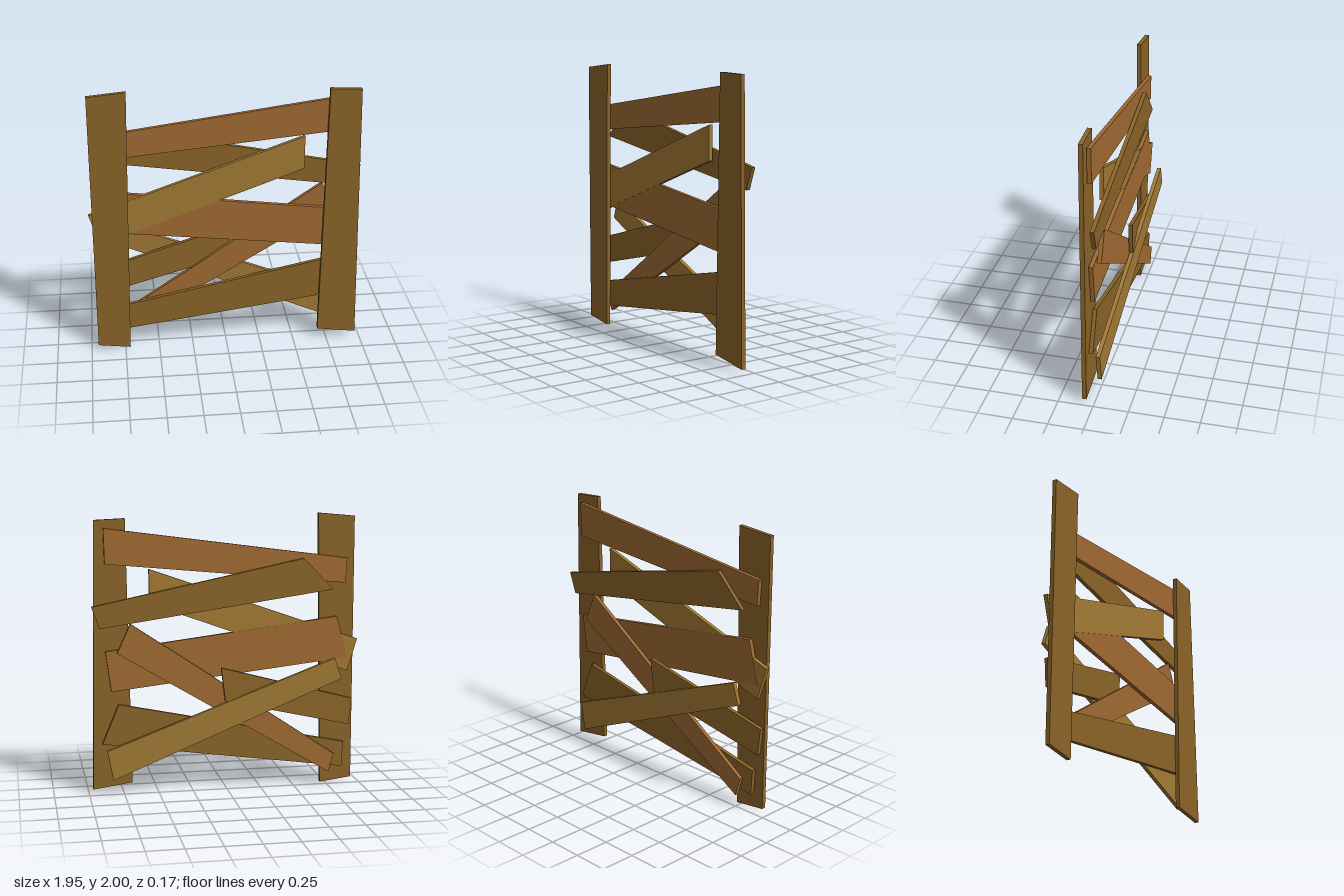
import * as THREE from 'three';

const BROWN = 0xa06a32, DARK = 0x8b6428, LIGHT = 0xa37a35;
const THICK = 0.029;

// Rough-sawn board: four corners (counter-clockwise from the front, starting
// bottom at -x), with the back face running from depth z0 at -x to z1 at +x.
function board(name, color, corners, z0, z1 = z0, thick = THICK) {
  const shape = new THREE.Shape(corners.map(([x, y]) => new THREE.Vector2(x, y)));
  const geo = new THREE.ExtrudeGeometry(shape, { depth: thick, bevelEnabled: false });
  const xs = corners.map((c) => c[0]);
  const minX = Math.min(...xs), maxX = Math.max(...xs);
  const pos = geo.attributes.position;
  for (let i = 0; i < pos.count; i++) {
    const t = (pos.getX(i) - minX) / (maxX - minX);
    pos.setZ(i, pos.getZ(i) + z0 + (z1 - z0) * t);
  }
  geo.computeVertexNormals();
  const mesh = new THREE.Mesh(geo, new THREE.MeshStandardMaterial({ color }));
  mesh.name = name;
  return mesh;
}

export function createModel() {
  const group = new THREE.Group();
  group.name = 'plankBarricade';
  const POST = 0.054, FRONT = 0.021, REAR = -0.016;

  group.add(
    // Upright posts
    board('rightPost', DARK, [[-0.95, 0.03], [-0.715, 0], [-0.68, 2], [-0.95, 1.975]], POST, POST, 0.031),
    board('leftPost', DARK, [[0.685, 0.07], [0.97, 0.03], [0.935, 1.965], [0.715, 1.975]], POST, POST, 0.031),

    // Boards fixed straight behind the posts
    board('topBoard', BROWN, [[-0.88, 1.495], [0.865, 1.66], [0.87, 1.91], [-0.89, 1.675]], FRONT),
    board('middleBoard', BROWN, [[-0.9, 0.945], [0.83, 0.75], [0.87, 1.04], [-0.82, 1.25]], FRONT),
    board('bottomBoard', DARK, [[-0.87, 0.123], [0.9, 0.37], [0.78, 0.655], [-0.88, 0.31]], FRONT),
    board('shortRisingBoard', LIGHT, [[-0.9, 0.845], [0.555, 1.375], [0.555, 1.62], [-0.975, 1.08]], FRONT + 0.002),

    // Boards in the second layer
    board('upperFallingBoard', DARK, [[-0.78, 1.453], [0.91, 1.21], [0.965, 1.365], [-0.56, 1.68]], REAR),
    board('diagonalBoard', BROWN, [[-0.76, 0.095], [0.79, 1.03], [0.695, 1.24], [-0.8, 0.23]], REAR),

    // Loose boards leaning through the layers
    board('shortLowerBoard', DARK, [[-0.92, 0.44], [0.02, 0.665], [0.05, 0.91], [-0.94, 0.635]], 0.022, -0.053),
    board('rearFallingBoard', LIGHT, [[-0.83, 0.81], [0.83, 0.11], [0.87, 0.325], [-0.78, 0.96]], -0.088, -0.018),
  );
  return group;
}
